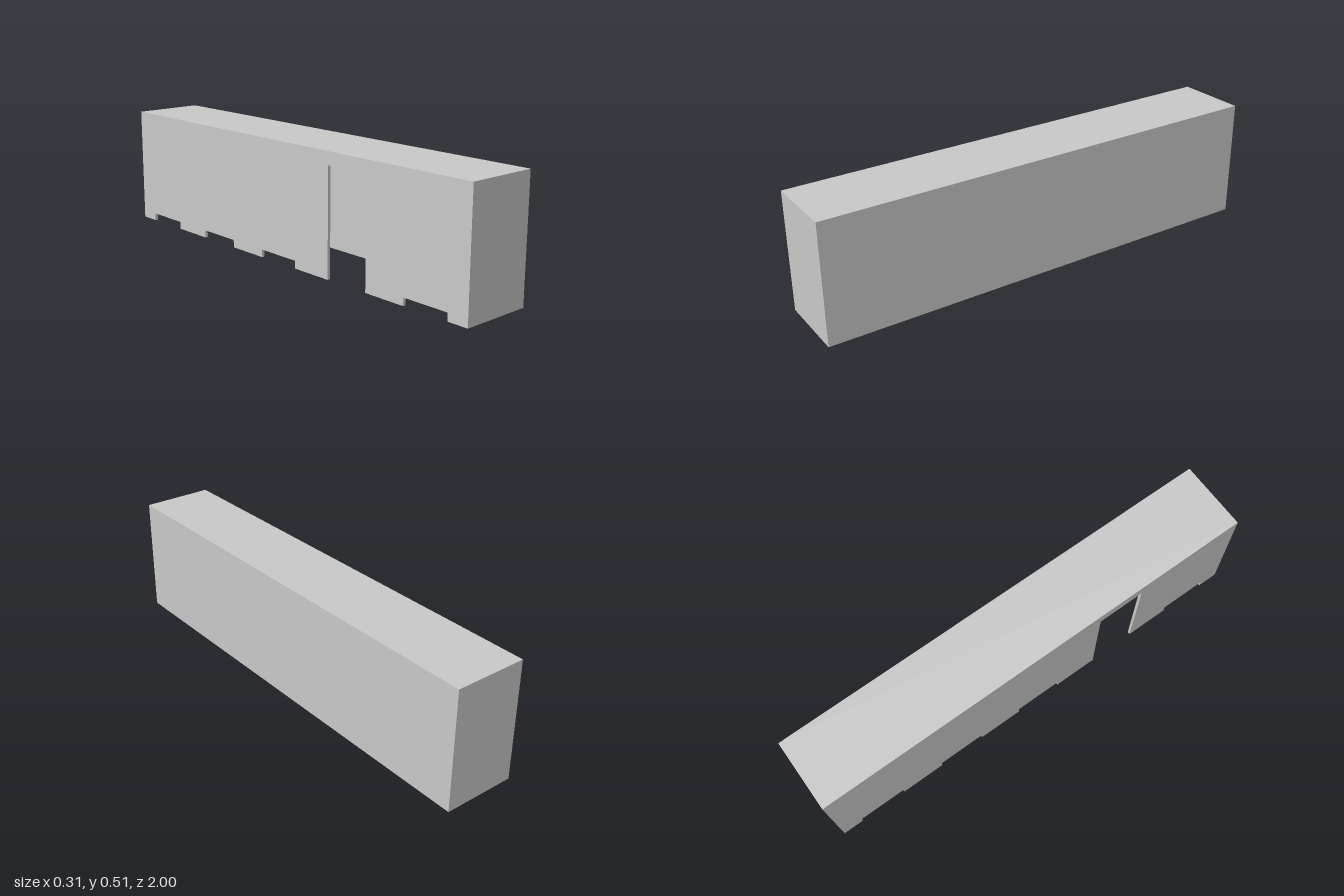
import * as THREE from 'three';

const W = 0.155, H = 0.512, L = 1; // half width, height, half length
const DOOR_TOP = 0.457, HALF_DOOR = 0.104, REVEAL = 0.013, GAP = 0.033;
const BAYS = [-0.805, -0.403, 0, 0.403, 0.805];
const OPEN_BAY = 3;

export function createModel() {
  const group = new THREE.Group();
  const material = new THREE.MeshStandardMaterial({ color: 0xcccccc, side: THREE.DoubleSide });

  const add = (name, geometry, x, y, z, rx = 0, ry = 0) => {
    const mesh = new THREE.Mesh(geometry, material);
    mesh.name = name;
    mesh.position.set(x, y, z);
    mesh.rotation.set(rx, ry, 0);
    group.add(mesh);
  };

  // Thin shell: roof, two end walls and the plain long wall, open underneath
  add('roof', new THREE.PlaneGeometry(2 * W, 2 * L), 0, H, 0, -Math.PI / 2);
  add('frontWall', new THREE.PlaneGeometry(2 * W, H), 0, H / 2, L);
  add('backWall', new THREE.PlaneGeometry(2 * W, H), 0, H / 2, -L, 0, Math.PI);
  add('plainWall', new THREE.PlaneGeometry(2 * L, H), W, H / 2, 0, 0, Math.PI / 2);

  // Long wall with a row of doorways cut up from the ground (shape x runs along z)
  const outline = new THREE.Shape();
  outline.moveTo(-L, 0);
  for (const z of BAYS) {
    outline.lineTo(z - HALF_DOOR, 0);
    outline.lineTo(z - HALF_DOOR, DOOR_TOP);
    outline.lineTo(z + HALF_DOOR, DOOR_TOP);
    outline.lineTo(z + HALF_DOOR, 0);
  }
  outline.lineTo(L, 0);
  outline.lineTo(L, H);
  outline.lineTo(-L, H);
  add('doorwayWall', new THREE.ShapeGeometry(outline), -W, 0, 0, 0, -Math.PI / 2);

  // Reveals turned inward around each doorway, and door panels flush with the wall
  BAYS.forEach((z, i) => {
    const x = -W + REVEAL / 2;
    add('doorJamb', new THREE.PlaneGeometry(REVEAL, DOOR_TOP), x, DOOR_TOP / 2, z - HALF_DOOR);
    add('doorJamb', new THREE.PlaneGeometry(REVEAL, DOOR_TOP), x, DOOR_TOP / 2, z + HALF_DOOR, 0, Math.PI);
    add('doorHead', new THREE.PlaneGeometry(REVEAL, 2 * HALF_DOOR), x, DOOR_TOP, z, Math.PI / 2);
    if (i === OPEN_BAY) return;
    const panelHeight = DOOR_TOP - GAP;
    add('doorPanel', new THREE.PlaneGeometry(2 * HALF_DOOR, panelHeight),
      -W, GAP + panelHeight / 2, z, 0, -Math.PI / 2);
  });

  return group;
}
